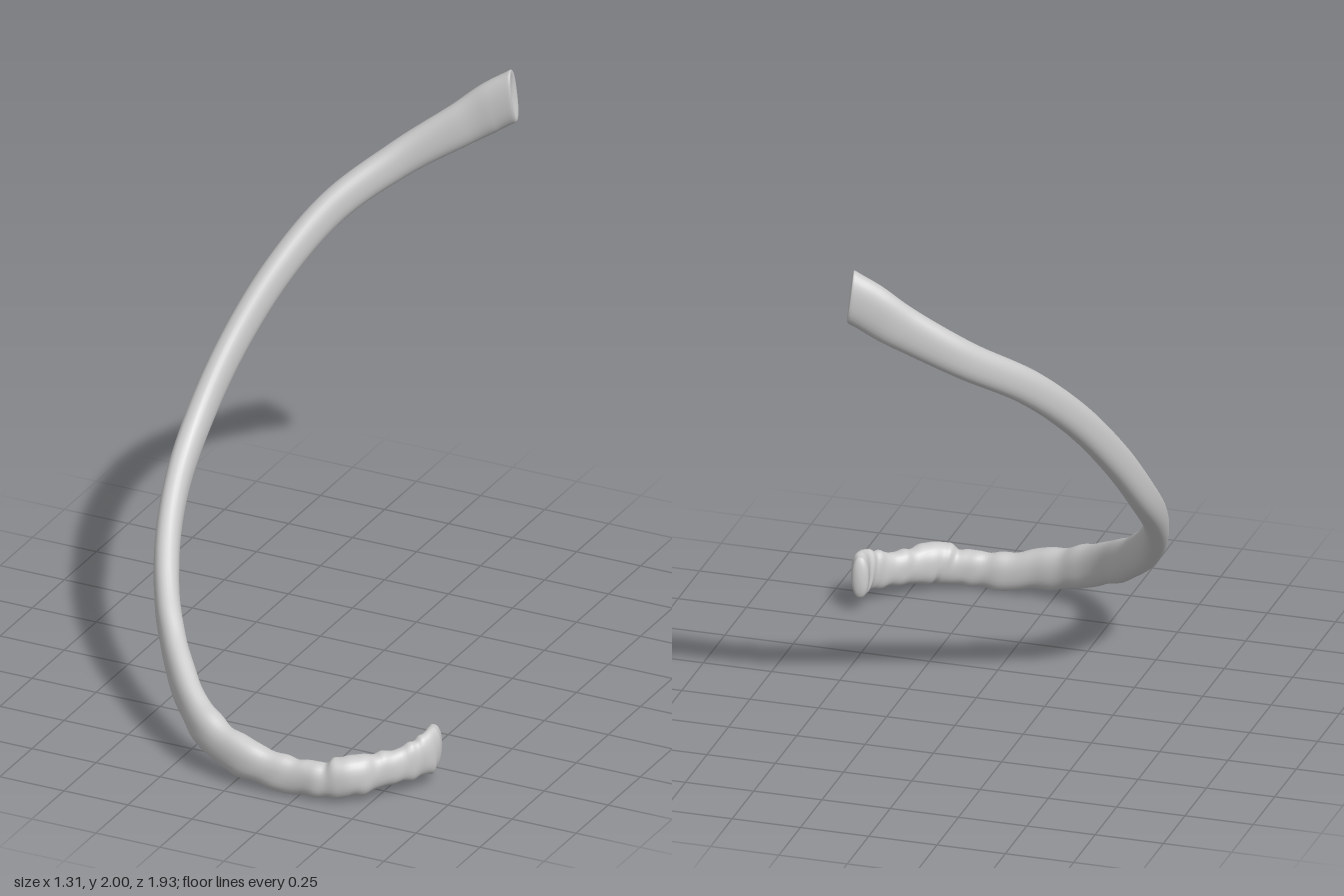
import * as THREE from 'three';

// Centreline x, y, z followed by section height and thickness
const STATIONS = [
  [0.17, 1.90, -0.92, 0.20, 0.095],
  [0.10, 1.855, -0.90, 0.185, 0.09],
  [0.0, 1.78, -0.865, 0.16, 0.085],
  [-0.2, 1.64, -0.765, 0.135, 0.09],
  [-0.375, 1.49, -0.595, 0.125, 0.09],
  [-0.495, 1.295, -0.4, 0.12, 0.09],
  [-0.575, 1.07, -0.2, 0.12, 0.088],
  [-0.61, 0.85, 0.0, 0.12, 0.09],
  [-0.592, 0.68, 0.2, 0.125, 0.088],
  [-0.525, 0.515, 0.4, 0.13, 0.09],
  [-0.405, 0.35, 0.6, 0.14, 0.09],
  [-0.2, 0.19, 0.82, 0.15, 0.098],
  [0.0, 0.11, 0.908, 0.148, 0.102],
  [0.2, 0.072, 0.912, 0.135, 0.088],
  [0.34, 0.075, 0.9, 0.13, 0.09],
  [0.43, 0.095, 0.865, 0.15, 0.11],
  [0.51, 0.10, 0.78, 0.125, 0.085],
  [0.585, 0.115, 0.70, 0.135, 0.07],
  [0.618, 0.13, 0.635, 0.165, 0.068],
  [0.607, 0.135, 0.575, 0.15, 0.06],
];
const SIDES = 28;
const STEPS = 190;

// Uneven ridges that grow towards the front end
function bumps(u, a) {
  const amount = THREE.MathUtils.smoothstep(u, 0.45, 0.62) * (1 - THREE.MathUtils.smoothstep(u, 0.93, 1));
  const wave = Math.sin(u * 150) + 0.7 * Math.sin(u * 97 + 2 * Math.cos(a)) + 0.5 * Math.sin(u * 233 + a);
  return amount * 0.0032 * wave * (0.35 + 0.65 * Math.abs(Math.cos(a)));
}

function ribGeometry() {
  const path = new THREE.CatmullRomCurve3(STATIONS.map((s) => new THREE.Vector3(s[0], s[1], s[2])), false, 'catmullrom', 0.5);
  const sizes = new THREE.CatmullRomCurve3(STATIONS.map((s) => new THREE.Vector3(s[3], s[4], 0)), false, 'catmullrom', 0.5);

  // Each ring: position along path, section scale, offset along path
  const rings = [[0, 0, 0.012], [0, 0.45, 0.008], [0, 0.8, 0], [0, 0.93, -0.003], [0, 0.985, 0.001]];
  for (let i = 1; i <= STEPS; i++) rings.push([i / STEPS, 1, 0]);
  for (let i = 1; i <= 6; i++) {
    const a = (i / 6) * Math.PI / 2;
    rings.push([1, Math.cos(a), Math.sin(a) * 0.02]);
  }

  const positions = [];
  const index = [];
  const up = new THREE.Vector3(0, 1, 0);
  rings.forEach(([u, scale, shift], i) => {
    const t = path.getTangent(u);
    const c = path.getPoint(u).addScaledVector(t, shift);
    const size = sizes.getPoint(u);
    // The rear end is cut almost upright, the rest square to the path
    const square = 0.25 + 0.75 * THREE.MathUtils.smoothstep(u, 0, 0.12);
    const tall = up.clone().addScaledVector(t, -square * t.y).normalize();
    const thin = t.clone().cross(tall).normalize();
    for (let j = 0; j < SIDES; j++) {
      const a = (j / SIDES) * Math.PI * 2;
      const ca = Math.cos(a);
      const sa = Math.sin(a);
      const round = (v) => Math.sign(v) * Math.pow(Math.abs(v), 0.88);
      const b = bumps(u, a);
      const p = c.clone()
        .addScaledVector(tall, scale * (size.x / 2 * round(ca) + b * ca))
        .addScaledVector(thin, scale * (size.y / 2 * round(sa) + b * sa));
      positions.push(p.x, p.y, p.z);
      if (i < rings.length - 1) {
        const p0 = i * SIDES + j;
        const p1 = i * SIDES + (j + 1) % SIDES;
        index.push(p0, p1, p0 + SIDES, p1, p1 + SIDES, p0 + SIDES);
      }
    }
  });

  const geometry = new THREE.BufferGeometry();
  geometry.setAttribute('position', new THREE.Float32BufferAttribute(positions, 3));
  geometry.setIndex(index);
  geometry.computeVertexNormals();
  return geometry;
}

export function createModel() {
  const group = new THREE.Group();
  group.name = 'ribBone';
  const rib = new THREE.Mesh(ribGeometry(), new THREE.MeshStandardMaterial({ color: 0xcccccc }));
  rib.name = 'ribShaft';
  group.add(rib);
  return group;
}
